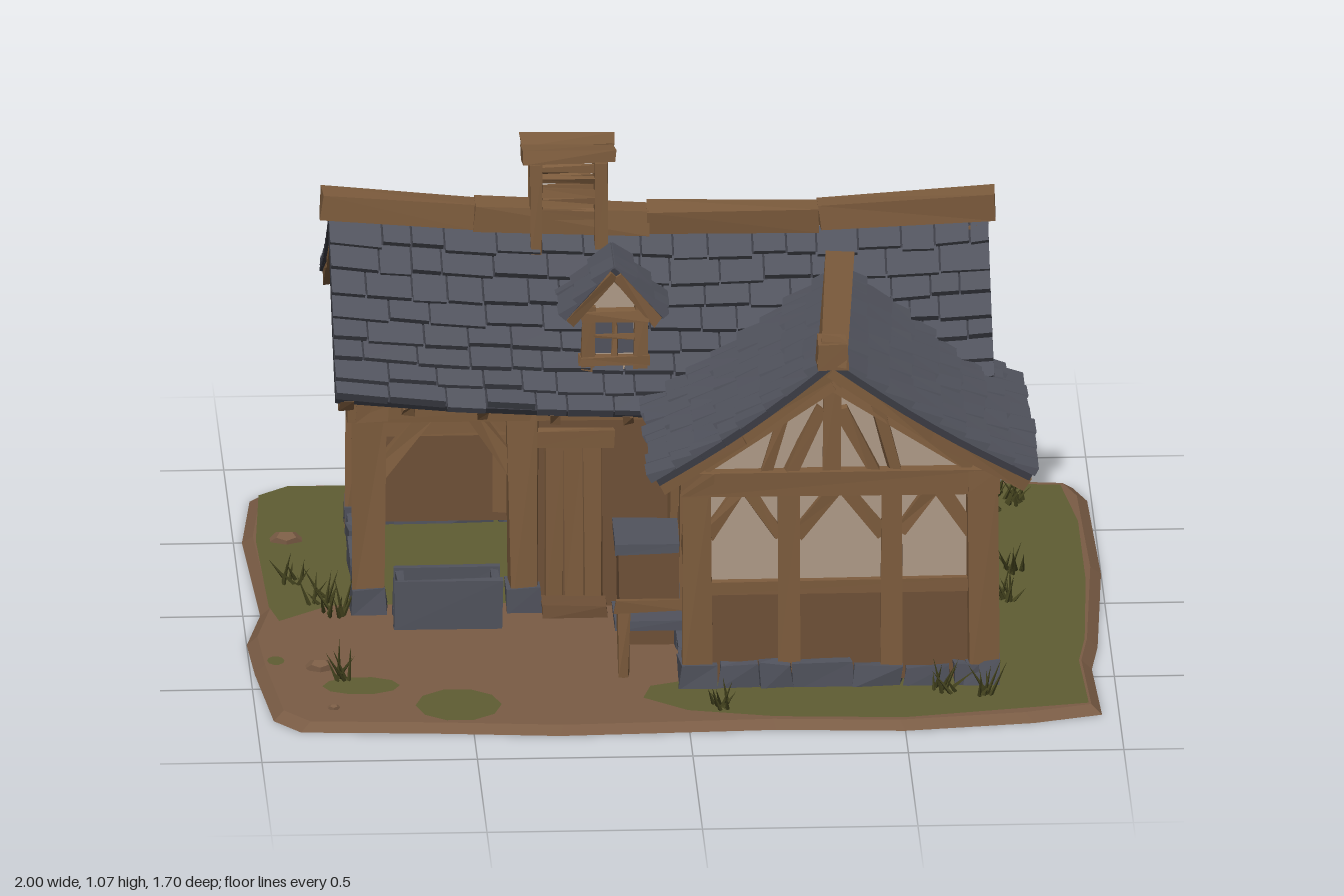
import * as THREE from 'three';

const mat = (name, color, side = THREE.FrontSide) => {
  const m = new THREE.MeshStandardMaterial({ color, flatShading: true, side });
  m.name = name;
  return m;
};
const M = {
  wood: mat('wood', 0x7d5c3d), board: mat('boards', 0x6e5037), plaster: mat('plaster', 0xaf9a87),
  slate: mat('slate', 0x51535d), gap: mat('dark slate', 0x3a3b43), dirt: mat('dirt', 0x7a5c45),
  grass: mat('grass', 0x5f5d33, THREE.DoubleSide), blade: mat('grass blades', 0x45441f, THREE.DoubleSide),
};
const V = (x, y, z) => new THREE.Vector3(x, y, z);

export function createModel() {
  let seed = 11;
  const rnd = () => (seed = (seed * 16807) % 2147483647) / 2147483647;
  const jit = (a) => (rnd() - 0.5) * 2 * a;
  const root = new THREE.Group();
  root.name = 'cottage';

  const add = (parent, name, geo, m) => {
    const mesh = new THREE.Mesh(geo, m);
    mesh.name = name;
    parent.add(mesh);
    return mesh;
  };
  const group = (name, x, z, turn = 0) => {
    const g = new THREE.Group();
    g.name = name;
    g.position.set(x, 0, z);
    g.rotation.y = turn;
    root.add(g);
    return g;
  };
  // box whose eight corners are nudged for a hand-hewn look
  const hewn = (w, h, d, a = 0.005) => {
    const geo = new THREE.BoxGeometry(w, h, d), p = geo.attributes.position;
    const off = Array.from({ length: 8 }, () => [jit(a), jit(a), jit(a)]);
    for (let i = 0; i < p.count; i++) {
      const o = off[(p.getX(i) > 0) + 2 * (p.getY(i) > 0) + 4 * (p.getZ(i) > 0)];
      p.setXYZ(i, p.getX(i) + o[0], p.getY(i) + o[1], p.getZ(i) + o[2]);
    }
    return geo;
  };
  const box = (parent, name, x0, x1, y0, y1, z0, z1, m, a = 0.003) => {
    const b = add(parent, name, hewn(x1 - x0, y1 - y0, z1 - z0, a), m);
    b.position.set((x0 + x1) / 2, (y0 + y1) / 2, (z0 + z1) / 2);
    return b;
  };
  const beam = (parent, name, p, q, w, d, m = M.wood) => {
    const dir = q.clone().sub(p);
    const b = add(parent, name, hewn(w, dir.length(), d), m);
    b.position.copy(p).add(q).multiplyScalar(0.5);
    b.quaternion.setFromUnitVectors(V(0, 1, 0), dir.normalize());
    return b;
  };
  const shapeOf = (pts) => new THREE.Shape(pts.map((p) => new THREE.Vector2(p[0], p[1])));
  const plate = (parent, name, shape, depth, z, m) => {
    add(parent, name, new THREE.ExtrudeGeometry(shape, { depth, bevelEnabled: false }), m).position.z = z;
  };

  // ground slab with sloping rim, grass laid on top
  const outline = [[-0.98, -0.5], [-0.95, -0.78], [-0.88, -0.85], [-0.3, -0.84], [0.48, -0.85], [0.96, -0.79], [0.99, -0.7],
    [1, -0.2], [0.97, 0.3], [0.95, 0.45], [0.96, 0.76], [0.8, 0.81], [0.5, 0.85], [0.2, 0.83], [-0.3, 0.85], [-0.6, 0.82],
    [-0.9, 0.8], [-0.96, 0.72], [-0.99, 0.4], [-1, 0.2], [-0.96, 0]];
  const flat = (pts) => shapeOf(pts.map(([x, z]) => [x, -z]));
  const slab = new THREE.ExtrudeGeometry(flat(outline), { depth: 0.02, bevelEnabled: false }).rotateX(-Math.PI / 2);
  const sp = slab.attributes.position;
  for (let i = 0; i < sp.count; i++) if (sp.getY(i) > 0.01) sp.setXYZ(i, sp.getX(i) * 0.975, 0.02, sp.getZ(i) * 0.975);
  add(root, 'ground', slab, M.dirt);
  const lawn = [[-0.93, -0.76], [-0.86, -0.82], [-0.3, -0.81], [0.35, -0.81], [0.93, -0.75], [0.96, -0.5], [0.96, -0.1], [0.94, 0.3],
    [0.92, 0.45], [0.93, 0.74], [0.5, 0.82], [0.2, 0.8], [0, 0.75], [-0.1, 0.66], [-0.08, 0.58], [0.02, 0.54], [0.03, 0],
    [-0.72, 0], [-0.8, 0], [-0.92, 0.1], [-0.94, 0], [-0.95, -0.45]];
  const ring = (cx, cz, rx, rz) => Array.from({ length: 10 }, (_, i) =>
    [cx + rx * Math.cos(i * Math.PI / 5), cz + rz * Math.sin(i * Math.PI / 5)]);
  for (const pts of [lawn, ring(-0.75, 0.55, 0.09, 0.06), ring(-0.53, 0.69, 0.1, 0.11), ring(-0.94, 0.37, 0.02, 0.03)])
    add(root, 'grassPatch', new THREE.ShapeGeometry(flat(pts)).rotateX(-Math.PI / 2), M.grass).position.y = 0.023;

  // grass tufts and loose stones
  for (const [x, z] of [[0.78, -0.68], [0.76, -0.6], [0.8, -0.16], [0.77, 0.04], [0.68, 0.66], [0.6, 0.64], [0.08, 0.73],
    [-0.78, 0.5], [-0.82, -0.03], [-0.88, -0.16], [-0.79, 0.06], [0.82, -0.63]]) {
    for (let i = 0; i < 9; i++) {
      const h = 0.05 + rnd() * 0.05;
      const b = add(root, 'grassBlade', new THREE.ConeGeometry(0.006, h, 3, 1, true).translate(0, h / 2, 0), M.blade);
      b.position.set(x + jit(0.025), 0.02, z + jit(0.025));
      b.rotation.set(jit(0.7), 0, jit(0.7));
    }
  }
  for (const [x, z, r] of [[-0.88, -0.45, 0.04], [-0.84, 0.42, 0.035], [-0.82, 0.7, 0.015]])
    add(root, 'stone', new THREE.DodecahedronGeometry(r).scale(1, 0.5, 0.8), M.dirt).position.set(x, 0.025, z);

  // timber-framed wall, built along local x with its outside on local +z
  const wall = (name, x, z, turn, len, studs, open = false) => {
    const g = group(name, x, z, turn);
    box(g, 'lowBoards', 0, len, 0.03, 0.26, -0.015, 0.012, M.board);
    box(g, 'rail', 0, len, 0.245, 0.28, -0.02, 0.024, M.wood);
    if (!open) box(g, 'plasterPanel', 0, len, 0.27, 0.51, -0.012, 0.006, M.plaster, 0);
    box(g, 'topBeam', -0.04, len + 0.04, 0.495, 0.55, -0.035, 0.04, M.wood);
    for (let u = 0.05; u < len - 0.05;) {
      const w = Math.min(0.07 + rnd() * 0.07, len - u);
      box(g, 'footingStone', u, u + w - 0.005, 0.015, 0.065 + rnd() * 0.025, -0.01, 0.04, M.slate, 0.007);
      u += w;
    }
    for (const s of studs) box(g, 'stud', s - 0.025, s + 0.025, 0.05, 0.5, -0.02, 0.028, M.wood);
    const bays = [0, ...studs, len];
    bays.slice(1).forEach((b, i) => {
      const a = bays[i], r = Math.min(0.12, (b - a) * 0.45);
      beam(g, 'brace', V(a + 0.02, 0.39, 0.008), V(a + r, 0.5, 0.008), 0.03, 0.03);
      beam(g, 'brace', V(b - 0.02, 0.39, 0.008), V(b - r, 0.5, 0.008), 0.03, 0.03);
    });
    return g;
  };
  const Q = Math.PI / 2;
  wall('wingFrontWall', 0.03, 0.565, 0, 0.66, [0.21, 0.45]);
  wall('wingRightWall', 0.69, 0.565, Q, 0.545, [], true);
  wall('wingLeftWall', 0.03, 0.02, -Q, 0.545, [0.2], true);
  wall('mainRightWall', 0.69, 0.02, Q, 0.58, [0.17, 0.38]);
  wall('mainBackWall', 0.69, -0.56, 2 * Q, 1.39, [0.33, 0.67, 1.06]);
  wall('mainLeftWall', -0.7, -0.56, -Q, 0.58, [0.2, 0.41]);

  // corner posts
  for (const [x, z] of [[0.03, 0.565], [0.69, 0.565], [0.69, 0.02], [0.69, -0.56], [-0.7, -0.56], [-0.71, 0.02], [-0.35, 0.02], [0.02, 0.02]]) {
    box(root, 'cornerPost', x - 0.034, x + 0.034, 0.02, 0.53, z - 0.034, z + 0.034, M.wood, 0.008);
    box(root, 'postFoot', x - 0.042, x + 0.042, 0.015, 0.08, z - 0.042, z + 0.042, M.slate, 0.006);
  }

  // open stall, entrance wall and door
  box(root, 'stallBeam', -0.76, 0.02, 0.49, 0.55, -0.015, 0.06, M.wood);
  beam(root, 'stallBrace', V(-0.69, 0.36, 0.02), V(-0.58, 0.5, 0.02), 0.035, 0.04);
  beam(root, 'stallBrace', V(-0.37, 0.36, 0.02), V(-0.47, 0.5, 0.02), 0.035, 0.04);
  box(root, 'stallPartition', -0.36, -0.34, 0.02, 0.5, -0.55, 0.0, M.board);
  box(root, 'entranceWall', -0.34, 0.02, 0.02, 0.5, 0, 0.02, M.board);
  for (let i = 0; i < 3; i++) box(root, 'doorPlank', -0.3 + i * 0.045, -0.258 + i * 0.045, 0.03, 0.42, 0.02, 0.032, M.wood);
  box(root, 'doorLintel', -0.33, -0.14, 0.42, 0.46, 0.015, 0.045, M.wood);
  box(root, 'doorStep', -0.31, -0.16, 0.015, 0.05, 0.03, 0.1, M.board);
  box(root, 'sideDoor', 0.02, 0.04, 0.26, 0.5, 0.06, 0.23, M.wood);

  // workbench beside the wing
  box(root, 'benchTop', -0.15, 0.0, 0.245, 0.27, 0.12, 0.3, M.slate);
  box(root, 'benchBody', -0.14, 0.0, 0.02, 0.245, 0.13, 0.29, M.board);
  box(root, 'benchShelf', -0.16, 0.0, 0.12, 0.145, 0.34, 0.48, M.slate);
  beam(root, 'benchPole', V(-0.16, 0.2, 0.52), V(0, 0.2, 0.52), 0.025, 0.025);
  beam(root, 'benchLeg', V(-0.14, 0.02, 0.5), V(-0.14, 0.2, 0.5), 0.03, 0.03);

  // hearth hood inside the wing
  const hood = group('hearthHood', 0.08, 0.2, Q);
  plate(hood, 'hood', shapeOf([[0, 0.1], [0.15, 0.1], [0.15, 0.27], [0.02, 0.42], [0, 0.42]]), 0.16, 0, M.slate);

  // water trough
  box(root, 'troughFloor', -0.65, -0.41, 0.02, 0.06, 0.06, 0.16, M.slate);
  for (const z of [0.06, 0.15]) box(root, 'troughSide', -0.655, -0.405, 0.02, 0.14, z, z + 0.018, M.slate);
  for (const x of [-0.65, -0.43]) box(root, 'troughEnd', x, x + 0.018, 0.02, 0.135, 0.06, 0.16, M.slate);

  // roof slope from a surface S(u, t): u runs along the ridge, t from ridge to eave
  const pushBlock = (out, c, lift0, lift1, drop) => {
    let [a, b, d, e] = c;
    const n = b.clone().sub(a).cross(e.clone().sub(a)).normalize();
    if (n.y < 0) { [a, b, d, e] = [b, a, e, d]; n.negate(); }
    const up = (p, h) => p.clone().addScaledVector(n, h);
    const t = [up(a, lift0), up(b, lift0), up(d, lift1), up(e, lift1)], l = [a, b, d, e].map((p) => up(p, -drop));
    const quad = (p, q, r, s) => { for (const v of [p, q, r, p, r, s]) out.push(v.x, v.y, v.z); };
    quad(...t);
    quad(l[3], l[2], l[1], l[0]);
    for (let i = 0; i < 4; i++) { const j = (i + 1) % 4; quad(l[i], l[j], t[j], t[i]); }
  };
  const blocks = (parent, name, out, m) => {
    const g = new THREE.BufferGeometry();
    g.setAttribute('position', new THREE.Float32BufferAttribute(out, 3));
    g.computeVertexNormals();
    add(parent, name, g, m);
  };
  const slope = (name, S, rows, cols) => {
    const tiles = [], base = [];
    for (let r = 0; r < rows; r++) {
      const t0 = r / rows, t1 = (r + 1) / rows;
      for (let k = 0; k < 6; k++) pushBlock(base, [S(k / 6, t0), S((k + 1) / 6, t0), S((k + 1) / 6, t1), S(k / 6, t1)], 0, 0, 0.018);
      for (let u = 0; u < 0.999;) {
        let v = u + (0.7 + rnd() * 0.7) / cols;
        if (v > 1 - 0.4 / cols) v = 1;
        const g = v < 1 ? 0.05 / cols : 0, e = t1 + (0.1 + jit(0.14)) / rows;
        pushBlock(tiles, [S(u, t0), S(v - g, t0), S(v - g, e), S(u, e + jit(0.05) / rows)], 0.003, 0.015 + rnd() * 0.008, 0.002);
        u = v;
      }
    }
    blocks(root, name + 'Underlay', base, M.gap);
    blocks(root, name + 'Tiles', tiles, M.slate);
  };
  const ridgeY = (x) => 0.845 + (x < 0.1 ? 0.05 * ((0.1 - x) / 0.9) ** 2 : 0.025 * ((x - 0.1) / 0.65) ** 2);
  const mainS = (run, fall) => (u, t) => {
    const x = -0.79 + 1.53 * u;
    return V(x, ridgeY(x) - fall * t - 0.02 * Math.sin(Math.PI * t), -0.25 + run * t);
  };
  const mainFront = mainS(0.39, 0.31), mainBack = mainS(-0.45, 0.28);
  slope('mainFrontRoof', mainFront, 8, 16);
  slope('mainBackRoof', mainBack, 9, 16);
  const wingS = (run, back) => (u, t) => {
    const z = 0.635 + (-0.14 + back * t - 0.635) * u, k = (0.635 - z) / 0.77;
    return V(0.34 + 0.05 * k * (1 - t) + run * t, 0.84 - 0.05 * k * (1 - t) - 0.29 * t - 0.015 * Math.sin(Math.PI * t), z);
  };
  const wingLeft = wingS(-0.41, 0.25), wingRight = wingS(0.465, 0.12);
  slope('wingLeftRoof', wingLeft, 8, 8);
  slope('wingRightRoof', wingRight, 8, 8);

  // ridge beams, barge boards and rafter tails
  const xs = [-0.805, -0.45, -0.05, 0.35, 0.755];
  xs.slice(1).forEach((x, i) => beam(root, 'mainRidgeBeam', V(xs[i] - 0.004, ridgeY(xs[i]) + 0.03, -0.25), V(x, ridgeY(x) + 0.03, -0.25), 0.06, 0.07));
  beam(root, 'wingRidgeBeam', V(0.34, 0.86, 0.655), V(0.39, 0.8, -0.12), 0.065, 0.06);
  const under = (p, dx, dz, dy = -0.035) => p.clone().add(V(dx, dy, dz));
  for (const [S, dx, dz] of [[mainFront, 0.025, 0], [mainBack, 0.025, 0], [wingLeft, 0, -0.025], [wingRight, 0, -0.025]]) {
    const ends = S === mainFront || S === mainBack ? [0, 1] : [0];
    for (const u of ends) for (const [t0, t1] of [[0, 0.5], [0.5, 0.97]]) {
      const s = u ? -1 : 1;
      beam(root, 'bargeBoard', under(S(u, t0), dx * s, dz * s), under(S(u, t1), dx * s, dz * s), 0.035, 0.035);
    }
    for (let i = 1; i < 9; i++) beam(root, 'rafter', under(S(i / 9, 0.55), 0, 0), under(S(i / 9, 0.96), 0, 0), 0.025, 0.025);
  }

  // main gables with a small open window
  const gable = (name, x, turn, flip) => {
    const g = group(name, x, -0.25, turn);
    const s = shapeOf([[-0.3, 0.53], [0.34, 0.53], [0.34, 0.59], [0, 0.84], [-0.3, 0.57]].map(([u, y]) => [u * flip, y]));
    s.holes.push(new THREE.Path([[-0.045, 0.62], [-0.045, 0.71], [0.055, 0.71], [0.055, 0.62]].map(([u, y]) => new THREE.Vector2(u * flip, y))));
    plate(g, 'gablePlaster', s, 0.015, -0.01, M.plaster);
    const b = (u0, y0, u1, y1, w) => beam(g, 'gableTimber', V(u0 * flip, y0, 0.008), V(u1 * flip, y1, 0.008), w, 0.035);
    for (const u of [-0.055, 0.065]) b(u, 0.54, u, 0.75, 0.025);
    for (const y of [0.61, 0.72]) b(-0.07, y, 0.08, y, 0.025);
    b(0.005, 0.61, 0.005, 0.72, 0.012);
    b(-0.05, 0.665, 0.06, 0.665, 0.012);
    b(-0.22, 0.54, -0.08, 0.64, 0.028);
    b(0.25, 0.54, 0.09, 0.66, 0.028);
    b(0, 0.73, 0, 0.85, 0.05);
  };
  gable('rightGable', 0.69, Q, 1);
  gable('leftGable', -0.7, -Q, -1);

  // wing gable
  const wg = group('wingGable', 0.34, 0.565);
  plate(wg, 'gablePlaster', shapeOf([[-0.36, 0.53], [0.4, 0.53], [0, 0.82]]), 0.015, -0.01, M.plaster);
  for (const [a, b, c, d, w] of [[0, 0.53, 0, 0.85, 0.045], [-0.15, 0.54, -0.1, 0.72, 0.03], [0.15, 0.54, 0.1, 0.72, 0.03],
    [-0.02, 0.7, -0.1, 0.54, 0.03], [0.02, 0.7, 0.1, 0.54, 0.03], [-0.3, 0.56, 0, 0.77, 0.035], [0.33, 0.56, 0, 0.77, 0.035]])
    beam(wg, 'gableTimber', V(a, b, 0.01), V(c, d, 0.01), w, 0.035);
  box(wg, 'ridgeEnd', -0.035, 0.035, 0.82, 0.885, 0.02, 0.095, M.wood);

  // dormer
  const dg = group('dormer', -0.14, 0.035);
  plate(dg, 'dormerBody', shapeOf([[-0.07, 0.6], [0.07, 0.6], [0.07, 0.75], [0, 0.82], [-0.07, 0.75]]), 0.2, -0.2, M.plaster);
  box(dg, 'dormerPane', -0.045, 0.045, 0.65, 0.74, 0, 0.006, M.slate, 0);
  for (const s of [-1, 1]) {
    beam(dg, 'dormerPost', V(s * 0.06, 0.61, 0.005), V(s * 0.06, 0.77, 0.005), 0.03, 0.03);
    beam(dg, 'dormerBarge', V(s * 0.1, 0.73, 0.015), V(0, 0.845, 0.015), 0.025, 0.03);
    slope('dormerRoof', (u, t) => V(-0.14 + s * 0.112 * t, 0.865 - 0.125 * t, 0.055 - 0.17 * u), 3, 3);
  }
  for (const y of [0.635, 0.745]) beam(dg, 'dormerRail', V(-0.08, y, 0.008), V(0.08, y, 0.008), 0.025, 0.035);
  beam(dg, 'dormerMullion', V(0, 0.64, 0.006), V(0, 0.74, 0.006), 0.012, 0.014);
  beam(dg, 'dormerCrossbar', V(-0.05, 0.695, 0.006), V(0.05, 0.695, 0.006), 0.012, 0.014);

  // louvred roof vent
  const vg = group('roofVent', -0.235, -0.26);
  for (const x of [-0.075, 0.075]) for (const z of [-0.05, 0.05])
    box(vg, 'ventPost', x - 0.014, x + 0.014, 0.8, 1.03, z - 0.014, z + 0.014, M.wood);
  for (let i = 0; i < 5; i++) {
    const y = 0.905 + i * 0.027;
    for (const s of [-1, 1]) {
      beam(vg, 'louvre', V(-0.07, y, s * 0.05), V(0.07, y + jit(0.004), s * 0.05), 0.016, 0.016);
      beam(vg, 'louvre', V(s * 0.075, y, -0.05), V(s * 0.075, y + jit(0.004), 0.05), 0.016, 0.016);
    }
  }
  for (const s of [-1, 1]) {
    const cap = box(vg, 'ventCap', -0.108, 0.108, 1.03, 1.06, s * 0.036 - 0.034, s * 0.036 + 0.034, M.wood, 0.004);
    cap.rotation.x = -s * 0.12;
  }
  return root;
}
